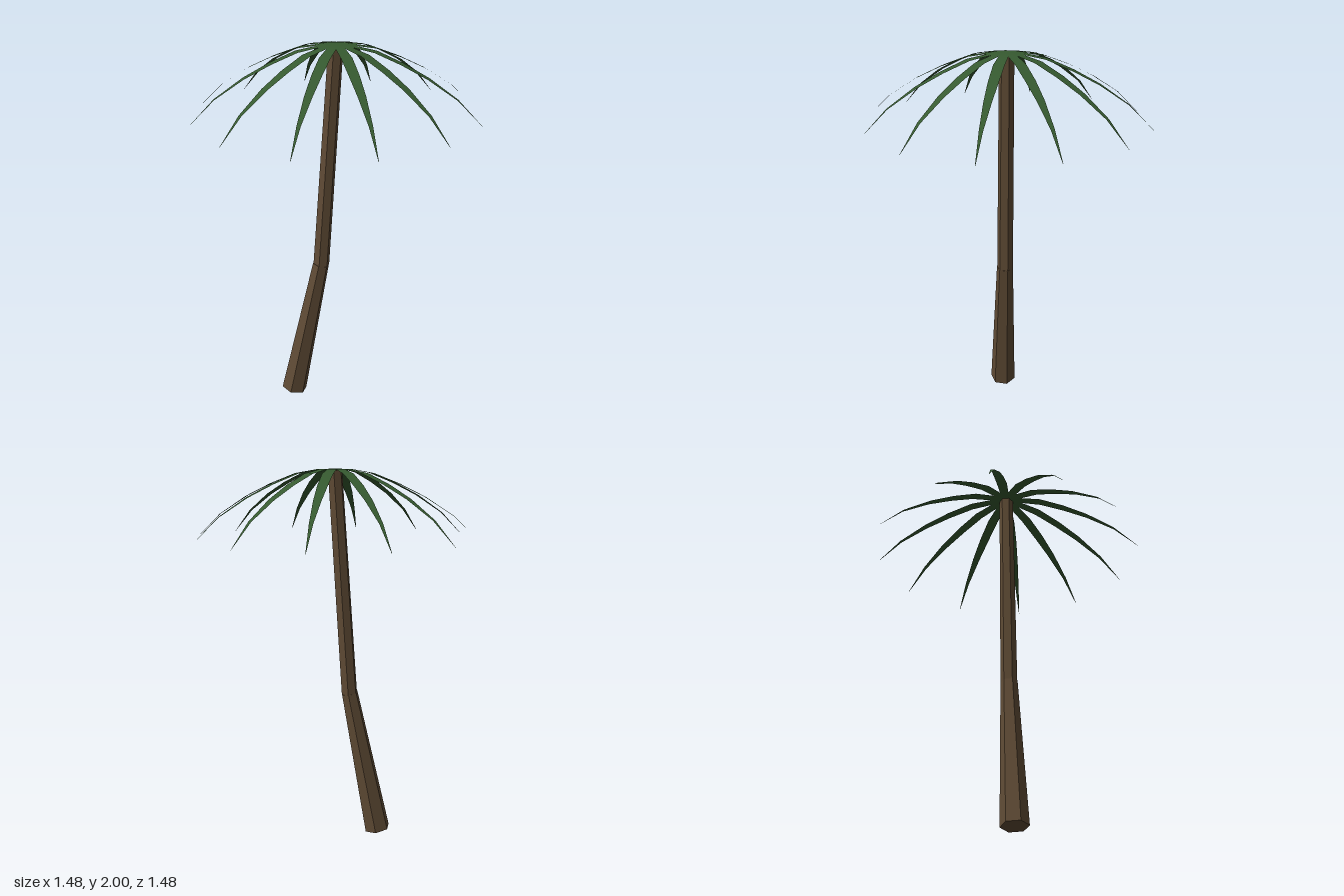
import * as THREE from 'three';

const bark = new THREE.MeshStandardMaterial({ color: 0x5f4b35, flatShading: true });
bark.name = 'bark brown';
const leaf = new THREE.MeshStandardMaterial({ color: 0x365a30, side: THREE.DoubleSide });
leaf.name = 'frond green';

// six-sided tapered log between two points
function log(name, from, to, r0, r1) {
  const a = new THREE.Vector3(...from), b = new THREE.Vector3(...to);
  const dir = b.clone().sub(a);
  const geo = new THREE.CylinderGeometry(r1, r0, dir.length(), 6, 1, false, Math.PI / 6);
  const mesh = new THREE.Mesh(geo, bark);
  mesh.name = name;
  mesh.position.copy(a).add(b).multiplyScalar(0.5);
  mesh.quaternion.setFromUnitVectors(new THREE.Vector3(0, 1, 0), dir.normalize());
  return mesh;
}

// drooping frond: a thin strip along +x; rows are [reach, height, half width]
function frondGeometry() {
  const rows = [
    [0, 2.0, 0.017], [0.085, 1.999, 0.024], [0.2, 1.979, 0.028], [0.333, 1.927, 0.026],
    [0.466, 1.862, 0.02], [0.614, 1.767, 0.01], [0.74, 1.645, 0.001],
  ];
  const geo = new THREE.PlaneGeometry(1, 1, 1, rows.length - 1);
  const p = geo.attributes.position;
  rows.forEach(([x, y, w], i) => {
    p.setXYZ(i * 2, x, y, -w);
    p.setXYZ(i * 2 + 1, x, y, w);
  });
  // wind the faces so the upper side is the front
  const idx = geo.index.array;
  for (let i = 0; i < idx.length; i += 3) [idx[i], idx[i + 1]] = [idx[i + 1], idx[i]];
  geo.computeVertexNormals();
  if (geo.attributes.normal.getY(4) < 0) {
    for (let i = 0; i < idx.length; i += 3) [idx[i], idx[i + 1]] = [idx[i + 1], idx[i]];
    geo.computeVertexNormals();
  }
  return geo;
}

export function createModel() {
  const tree = new THREE.Group();
  tree.name = 'palmTree';

  // bent trunk
  tree.add(log('lowerTrunk', [-0.235, 0.017, -0.058], [-0.081, 0.81, -0.018], 0.071, 0.045));
  tree.add(log('upperTrunk', [-0.079, 0.807, -0.018], [-0.002, 1.993, 0], 0.044, 0.039));

  // crown of twelve fronds
  const crown = new THREE.Group();
  crown.name = 'crown';
  const geo = frondGeometry();
  for (let i = 0; i < 12; i++) {
    const frond = new THREE.Mesh(geo, leaf);
    frond.name = 'frond' + (i + 1);
    frond.rotation.y = (i * Math.PI) / 6;
    crown.add(frond);
  }
  tree.add(crown);
  return tree;
}
